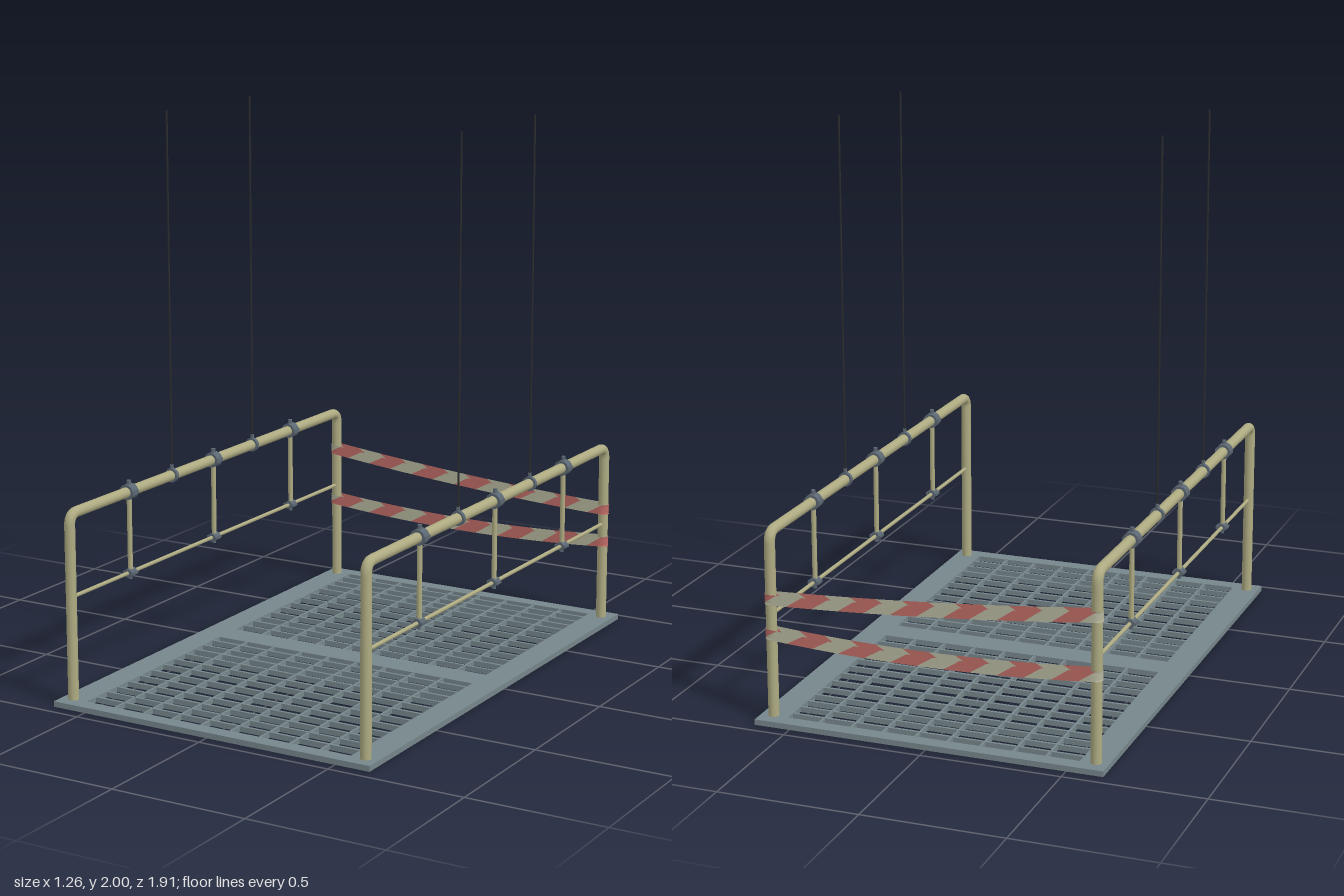
import * as THREE from 'three';

const paint = (color, side = THREE.FrontSide) => new THREE.MeshStandardMaterial({ color, side });
const STEEL = paint(0x76868b), PIPE = paint(0xaeab82), CLAMP = paint(0x5c6873), CABLE = paint(0x2a2c2e);
const RED = paint(0xc06c66, THREE.DoubleSide), PALE = paint(0xb8b8a0, THREE.DoubleSide);

const RAIL_X = 0.585, RAIL_Y = 0.683, FRONT_Z = 0.9, BACK_Z = -0.895, MID_Y = 0.387, DECK = 0.02;

function add(parent, name, geometry, material, x = 0, y = 0, z = 0) {
  const mesh = new THREE.Mesh(geometry, material);
  mesh.name = name;
  mesh.position.set(x, y, z);
  parent.add(mesh);
}
const box = (w, h, d) => new THREE.BoxGeometry(w, h, d);
const rod = (r, len, sides = 12) => new THREE.CylinderGeometry(r, r, len, sides);
const rodZ = (r, len, sides = 16) => rod(r, len, sides).rotateX(Math.PI / 2);

// Deck frame with two openings, filled by crossed bars
function buildDeck() {
  const deck = new THREE.Group();
  deck.name = 'deck';
  const rect = (Path, x, y0, y1) => new Path([[-x, y0], [x, y0], [x, y1], [-x, y1]].map(p => new THREE.Vector2(...p)));
  const shape = rect(THREE.Shape, 0.63, -0.955, 0.955);
  const openings = [[-0.9, -0.055], [0.055, 0.9]];
  openings.forEach(([a, b]) => shape.holes.push(rect(THREE.Path, 0.53, a, b)));
  const frame = new THREE.ExtrudeGeometry(shape, { depth: DECK, bevelEnabled: false }).rotateX(-Math.PI / 2);
  add(deck, 'deckFrame', frame, STEEL);
  // Cross bars sit closer together near the ends of each opening
  const crossBars = [0.044, 0.108, 0.166, 0.227, 0.298, 0.369, 0.445, 0.517, 0.59, 0.659, 0.72, 0.785];
  for (const [a, b] of openings) {
    for (let i = 1; i < 9; i++)
      add(deck, 'grateLongBar', box(0.009, 0.018, b - a), STEEL, -0.53 + i * 1.06 / 9, 0.01, (a + b) / 2);
    for (const offset of crossBars)
      add(deck, 'grateCrossBar', box(1.06, 0.019, 0.011), STEEL, 0, 0.01, a + offset);
  }
  return deck;
}

// One side: bent pipe rail, middle rail, struts with clamps, and hanging cables
function buildRail() {
  const rail = new THREE.Group();
  rail.name = 'sideRail';
  const v = (y, z) => new THREE.Vector3(0, y, z);
  const bend = 0.04, foot = DECK - 0.005, path = new THREE.CurvePath();
  path.add(new THREE.LineCurve3(v(foot, FRONT_Z), v(RAIL_Y - bend, FRONT_Z)));
  path.add(new THREE.QuadraticBezierCurve3(v(RAIL_Y - bend, FRONT_Z), v(RAIL_Y, FRONT_Z), v(RAIL_Y, FRONT_Z - bend)));
  path.add(new THREE.LineCurve3(v(RAIL_Y, FRONT_Z - bend), v(RAIL_Y, BACK_Z + bend)));
  path.add(new THREE.QuadraticBezierCurve3(v(RAIL_Y, BACK_Z + bend), v(RAIL_Y, BACK_Z), v(RAIL_Y - bend, BACK_Z)));
  path.add(new THREE.LineCurve3(v(RAIL_Y - bend, BACK_Z), v(foot, BACK_Z)));
  add(rail, 'handrail', new THREE.TubeGeometry(path, 300, 0.019, 16), PIPE);
  add(rail, 'middleRail', rodZ(0.007, FRONT_Z - BACK_Z, 10), PIPE, 0, MID_Y, (FRONT_Z + BACK_Z) / 2);

  for (const z of [-0.541, 0.002, 0.545]) {
    add(rail, 'strut', rod(0.009, RAIL_Y - MID_Y), PIPE, 0, (RAIL_Y + MID_Y) / 2, z);
    add(rail, 'upperClamp', rodZ(0.028, 0.036, 20), CLAMP, 0, RAIL_Y, z);
    add(rail, 'upperClampFlange', box(0.06, 0.014, 0.036), CLAMP, 0, RAIL_Y, z);
    add(rail, 'upperClampBolt', rod(0.008, 0.084, 8), CLAMP, 0, RAIL_Y, z);
    add(rail, 'lowerClamp', rodZ(0.016, 0.036), CLAMP, 0, MID_Y, z);
    add(rail, 'lowerClampFlange', box(0.042, 0.01, 0.036), CLAMP, 0, MID_Y, z);
    add(rail, 'lowerClampBolt', rod(0.007, 0.048, 8), CLAMP, 0, MID_Y, z);
  }
  for (const z of [-0.267, 0.275]) {
    add(rail, 'cableCollar', rodZ(0.026, 0.015), CLAMP, 0, RAIL_Y, z);
    add(rail, 'cableEye', rod(0.007, 0.03, 8), CLAMP, 0, RAIL_Y + 0.025, z);
    add(rail, 'cable', rod(0.0036, 2 - RAIL_Y, 8), CABLE, 0, (2 + RAIL_Y) / 2, z);
  }
  return rail;
}

// Closed sagging ribbon passing round both back posts, cut into slanted stripes
function buildTape(yLeft, yRight, sag) {
  const tape = new THREE.Group();
  tape.name = 'barrierTape';
  const h = 0.037, r = 0.022, slant = 0.06, stripes = 26;
  const span = 2 * RAIL_X, arc = Math.PI * r, total = 2 * (span + arc);
  const heightAt = x => {
    const t = THREE.MathUtils.clamp((x + RAIL_X) / span, 0, 1);
    return yRight + (yLeft - yRight) * t - sag * 4 * t * (1 - t);
  };
  // Plan position along the loop: straight run, then half turn, then back again
  const planAt = distance => {
    const s = THREE.MathUtils.euclideanModulo(distance, total);
    const half = s % (total / 2), sign = s < total / 2 ? 1 : -1;
    if (half < span) return [sign * (half - RAIL_X), sign * r];
    const angle = (half - span) / r;
    return [sign * (RAIL_X + r * Math.sin(angle)), sign * r * Math.cos(angle)];
  };
  for (let i = 0; i < stripes; i++) {
    const geo = new THREE.PlaneGeometry(1, 1, 16, 4);
    const p = geo.attributes.position;
    for (let k = 0; k < p.count; k++) {
      const [x, z] = planAt((i + p.getX(k) + 0.5) * total / stripes + p.getY(k) * slant);
      p.setXYZ(k, x, heightAt(x) + p.getY(k) * h, BACK_Z + z);
    }
    geo.computeVertexNormals();
    add(tape, 'tapeStripe', geo, i % 2 ? PALE : RED);
  }
  return tape;
}

export function createModel() {
  const model = new THREE.Group();
  model.name = 'suspendedPlatform';
  model.add(buildDeck());
  for (const side of [-1, 1]) {
    const rail = buildRail();
    rail.position.x = side * RAIL_X;
    model.add(rail);
  }
  model.add(buildTape(0.445, 0.535, 0.012), buildTape(0.32, 0.33, 0.025));
  return model;
}
